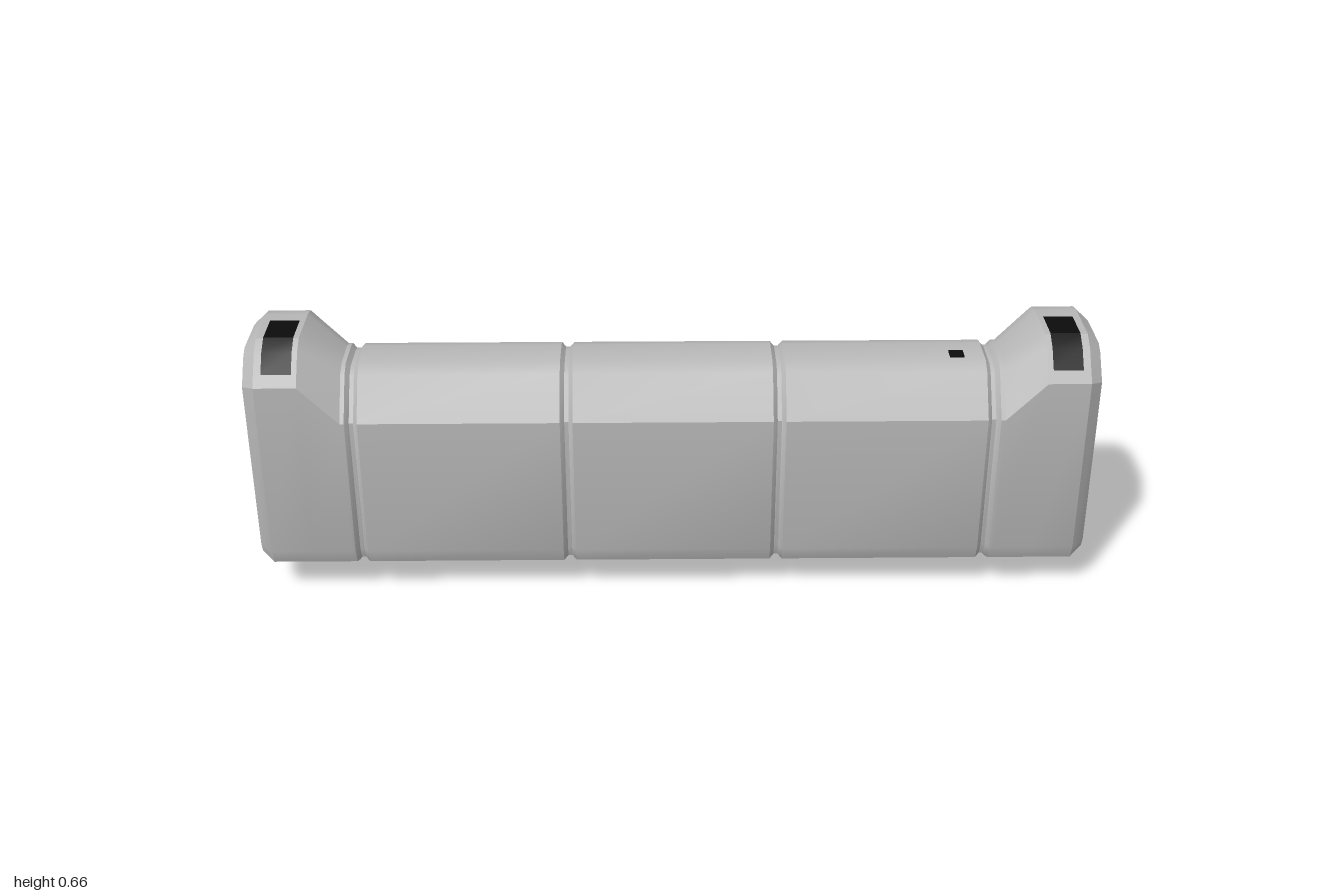
import * as THREE from 'three';
import { toCreasedNormals } from 'three/addons/utils/BufferGeometryUtils.js';

// Cross-sections as [z, y], running up the front, over the top and down the back.
const END = [[.34, .13], [.34, .575], [.285, .64], [.25, .66], [.12, .66], [.08, .652], [.05, .632], [.03, .6],
  [.023, .56], [.023, .31], [.012, .27], [-.02, .245], [-.233, .162], [-.26, .125], [-.268, .09], [-.257, .05],
  [-.237, .026], [-.21, .014], [.29, .075], [.325, .092]];
const MID = [[.34, .13], [.34, .48], [.27, .575], [.24, .59], [.15, .59], [.12, .583], [.095, .565], [.08, .54],
  [.075, .5], [.075, .3], [.058, .255], [.02, .228], [-.32, .083], [-.335, .064], [-.34, .045], [-.335, .022],
  [-.323, .008], [-.3, .003], [.29, .075], [.325, .092]];
// Openings: rim on the end face and narrower passage behind it.
const UPPER_RIM = [[.29, .245], [.29, .545], [.25, .588], [.235, .596], [.125, .596], [.097, .582], [.08, .555],
  [.076, .52], [.076, .455], [.08, .445], [.28, .243]];
const UPPER_IN = [[.268, .33], [.268, .525], [.243, .555], [.228, .565], [.148, .565], [.128, .555], [.116, .535],
  [.112, .51], [.112, .46], [.118, .447], [.25, .317]];
const LOWER_RIM = [[.29, .15], [.29, .2], [.095, .393], [.085, .395], [.076, .385], [.075, .3], [.062, .255],
  [.025, .222], [-.19, .142], [-.213, .115], [-.217, .088], [-.205, .066], [.268, .12], [.284, .13]];
const LOWER_IN = [[.268, .165], [.268, .18], [.13, .315], [.12, .316], [.112, .308], [.112, .28], [.098, .23],
  [.05, .195], [-.16, .117], [-.17, .11], [-.172, .1], [-.165, .09], [.25, .15], [.262, .155]];

// Move every point of a closed section inwards by d.
function inset(pts, d) {
  const n = pts.length;
  const normal = (a, b) => new THREE.Vector2(a[1] - b[1], b[0] - a[0]).normalize();
  return pts.map((p, i) => {
    const n1 = normal(pts[(i + n - 1) % n], p), n2 = normal(p, pts[(i + 1) % n]);
    const k = d / (1 + n1.dot(n2));
    return [p[0] + (n1.x + n2.x) * k, p[1] + (n1.y + n2.y) * k];
  });
}

// Skin through stations [x, section], ordered from +x to -x.
function loft(stations, { flip = false, open = false } = {}) {
  const pos = [], idx = [], n = stations[0][1].length;
  for (const [x, pts] of stations) for (const [z, y] of pts) pos.push(x, y, z);
  for (let i = 0; i < stations.length - 1; i++) {
    for (let j = 0; j < (open ? n - 1 : n); j++) {
      const a = i * n + j, b = i * n + (j + 1) % n, c = a + n, d = b + n;
      if (flip) idx.push(a, c, b, b, c, d);
      else idx.push(a, b, c, b, d, c);
    }
  }
  const g = new THREE.BufferGeometry();
  g.setAttribute('position', new THREE.Float32BufferAttribute(pos, 3));
  g.setIndex(idx);
  return toCreasedNormals(g, 0.5);
}

const mirrored = (stations) => stations.map(([x, s]) => [-x, s]).reverse();

export function createModel() {
  const model = new THREE.Group();
  const concrete = new THREE.MeshStandardMaterial({ color: 0xb8b8b8 });
  concrete.name = 'pale grey';
  const black = new THREE.MeshStandardMaterial({ color: 0x0c0c0c });
  black.name = 'black';
  const add = (name, geometry, material = concrete) => {
    const mesh = new THREE.Mesh(geometry, material);
    mesh.name = name;
    model.add(mesh);
    return mesh;
  };

  // Body panels separated by shallow grooves
  const grooves = [.753, .25, -.25, -.753];
  const groove = inset(MID, .011);
  for (let i = 0; i < 3; i++) {
    const a = grooves[i], b = grooves[i + 1];
    add('bodyPanel', loft([[a, groove], [a - .005, groove], [a - .015, MID],
      [b + .015, MID], [b + .005, groove], [b, groove]]));
  }

  // Raised ends flaring out of the body, with a bevelled outer edge
  const face = inset(END, .027);
  const endStations = [[1, face], [.97, END], [.87, END], [.778, MID], [.768, MID], [.758, groove], [.753, groove]];
  add('rightEnd', loft(endStations));
  add('leftEnd', loft(mirrored(endStations)));

  // Flat end faces with two openings and the diagonal brace between them
  for (const side of [1, -1]) {
    const points = (s) => s.map(([z, y]) => new THREE.Vector2(-side * z, y));
    const shape = new THREE.Shape(points(face));
    shape.holes.push(new THREE.Path(points(UPPER_RIM)), new THREE.Path(points(LOWER_RIM)));
    const g = new THREE.ShapeGeometry(shape);
    g.rotateY(side * Math.PI / 2);
    g.translate(side, 0, 0);
    add('endFace', g);
  }

  // Passages running through the whole length
  const passage = (rim, inner) => loft([[1, rim], [.9, inner], [-.9, inner], [-1, rim]], { flip: true });
  add('upperPassage', passage(UPPER_RIM, UPPER_IN));
  add('lowerPassage', passage(LOWER_RIM, LOWER_IN));

  // Black plates bent over the top front corners
  const bend = [[.322, .601], [.287, .642], [.251, .663], [.16, .663]];
  for (const x of [.917, -.917]) add('topPlate', loft([[x + .035, bend], [x - .035, bend]], { open: true }), black);

  // Small marker on the top
  add('topMarker', new THREE.BoxGeometry(.034, .006, .034), black).position.set(.673, .59, .212);

  // Thin plates lying on the sloping underside
  const slope = .072 / .59;
  const under = (name, x, z, w, d, t, material) => {
    const plate = add(name, new THREE.BoxGeometry(w, t, d), material);
    plate.position.set(x, .003 + (z + .3) * slope, z);
    plate.rotation.x = -Math.atan(slope);
  };
  for (const x of [-.5, 0, .5]) {
    under('underPanel', x, -.1, .3, .2, .003, concrete);
    for (const z of [.09, .13, .17]) under('underSlat', x, z, .28, .025, .003, concrete);
  }
  for (const x of [-.915, .915]) under('underPlate', x, .18, .055, .11, .006, black);
  under('underMarker', .59, .04, .05, .03, .006, black);

  return model;
}
